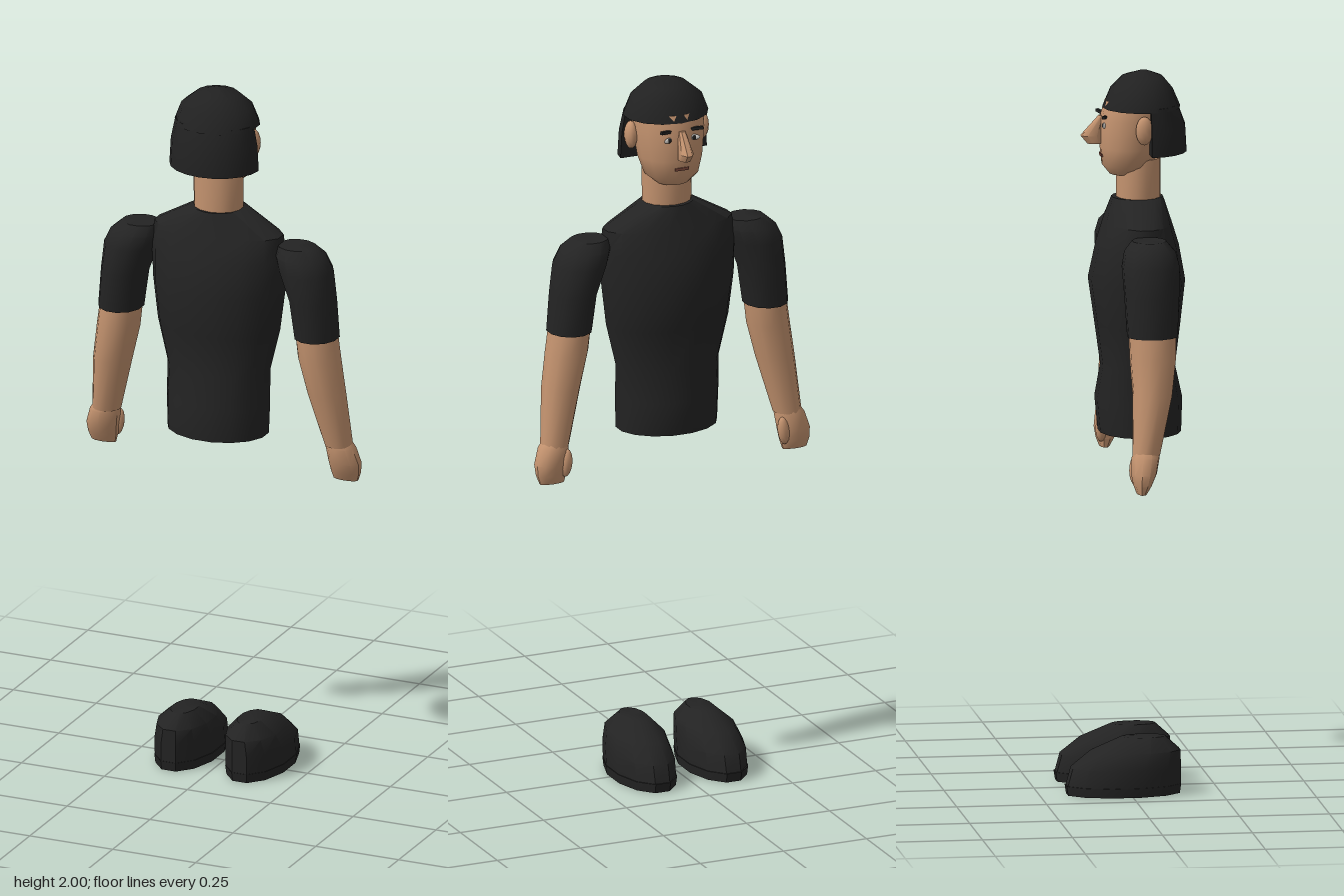
import * as THREE from 'three';
import { toCreasedNormals } from 'three/addons/utils/BufferGeometryUtils.js';

const flat = (name, color) => {
  const m = new THREE.MeshStandardMaterial({ color });
  m.name = name;
  return m;
};

// Skin a stack of equal-length closed outlines (bottom to top) and cap both ends.
function skinOutlines(outlines, crease = 0.75) {
  const n = outlines[0].length, pos = [], idx = [];
  outlines.forEach(o => o.forEach(p => pos.push(...p)));
  for (let r = 0; r < outlines.length - 1; r++) {
    for (let i = 0; i < n; i++) {
      const a = r * n + i, b = r * n + (i + 1) % n;
      idx.push(a, a + n, b, b, a + n, b + n);
    }
  }
  const cap = (r, top) => {
    const c = pos.length / 3;
    pos.push(...[0, 1, 2].map(k => outlines[r].reduce((s, p) => s + p[k], 0) / n));
    for (let i = 0; i < n; i++) {
      const a = r * n + i, b = r * n + (i + 1) % n;
      idx.push(c, ...(top ? [b, a] : [a, b]));
    }
  };
  cap(0, false);
  cap(outlines.length - 1, true);
  const g = new THREE.BufferGeometry();
  g.setAttribute('position', new THREE.Float32BufferAttribute(pos, 3));
  g.setIndex(idx);
  return toCreasedNormals(g, crease);
}

// Elliptical rings: [y, centreX, centreZ, radiusX, radiusZ]
function loft(rings, sides = 12, side = 1, crease) {
  const k = 1 / Math.cos(Math.PI / sides);
  return skinOutlines(rings.map(([y, cx, cz, rx, rz]) =>
    Array.from({ length: sides }, (_, i) => {
      const a = (i + 0.5) / sides * Math.PI * 2;
      return [cx * side + Math.cos(a) * rx * k, y, cz + Math.sin(a) * rz * k];
    })), crease);
}

export function createModel() {
  const root = new THREE.Group();
  root.name = 'figure';
  const skin = flat('skin', 0xc4936f);
  const black = flat('blackCloth', 0x232323);
  const hairMat = flat('hairBlack', 0x212121);
  const white = flat('eyeWhite', 0xe8e4de);
  const lip = flat('lip', 0x7d4a3c);

  const add = (name, geo, mat, parent = root) => {
    const m = new THREE.Mesh(geo, mat);
    m.name = name;
    parent.add(m);
    return m;
  };
  const blob = (name, mat, p, s, parent) => {
    const m = add(name, new THREE.SphereGeometry(1, 12, 8), mat, parent);
    m.position.set(...p);
    m.scale.set(...s);
    return m;
  };

  // Shirt body
  add('shirt', loft([
    [0.995, 0, 0.043, 0.143, 0.112],
    [1.09, 0, 0.04, 0.145, 0.118],
    [1.18, 0, 0.038, 0.146, 0.1],
    [1.3, 0, 0.037, 0.174, 0.115],
    [1.42, 0, 0.035, 0.188, 0.13],
    [1.52, 0, 0.037, 0.193, 0.11],
    [1.585, 0, 0.037, 0.187, 0.09],
    [1.65, 0, 0.037, 0.072, 0.07],
  ], 16), black);

  // Head and neck
  const head = new THREE.Group();
  head.name = 'head';
  root.add(head);
  add('neck', loft([[1.63, 0, 0.04, 0.068, 0.06], [1.76, 0, 0.04, 0.07, 0.06]], 14), skin, head);
  add('face', loft([
    [1.715, 0, 0.0, 0.045, 0.04],
    [1.74, 0, 0.01, 0.075, 0.07],
    [1.79, 0, 0.02, 0.09, 0.085],
    [1.87, 0, 0.03, 0.1, 0.095],
    [1.92, 0, 0.04, 0.1, 0.09],
  ], 16), skin, head);
  add('nose', loft([
    [1.8, 0, -0.08, 0.016, 0.022],
    [1.822, 0, -0.09, 0.018, 0.03],
    [1.878, 0, -0.062, 0.009, 0.008],
  ], 8), skin, head);
  const mouth = add('mouth', new THREE.BoxGeometry(0.04, 0.008, 0.008), lip, head);
  mouth.position.set(0, 1.768, -0.062);

  // Hair: rounded cap, and a longer back half hanging to the nape
  add('hairCap', loft([
    [1.9, 0, 0.048, 0.118, 0.106],
    [1.95, 0, 0.048, 0.1, 0.085],
    [1.985, 0, 0.05, 0.058, 0.055],
    [2.0, 0, 0.055, 0.012, 0.012],
  ], 14), hairMat, head);
  const backHair = [[1.778, 0.13, 0.114], [1.85, 0.126, 0.11], [1.91, 0.115, 0.088]];
  add('hairBack', skinOutlines(backHair.map(([y, rx, rz]) =>
    Array.from({ length: 11 }, (_, i) => {
      const a = i / 10 * Math.PI;
      return [Math.cos(a) * rx, y, 0.06 + Math.sin(a) * rz];
    }))), hairMat, head);

  for (const s of [1, -1]) {
    const label = s > 0 ? 'left' : 'right';

    // Eye, brow and ear
    blob(label + 'Eye', white, [s * 0.038, 1.855, -0.06], [0.017, 0.008, 0.004], head).rotation.y = s * 0.35;
    blob(label + 'Pupil', hairMat, [s * 0.038, 1.855, -0.063], [0.007, 0.007, 0.003], head);
    const brow = add(label + 'Brow', new THREE.BoxGeometry(0.045, 0.008, 0.009), hairMat, head);
    brow.position.set(s * 0.042, 1.879, -0.058);
    brow.rotation.set(0, s * 0.35, s * 0.1);
    blob(label + 'Ear', skin, [s * 0.107, 1.85, 0.042], [0.018, 0.04, 0.024], head);

    // Arm
    const arm = new THREE.Group();
    arm.name = label + 'Arm';
    root.add(arm);
    add('sleeve', loft([
      [1.31, 0.295, 0.037, 0.061, 0.068],
      [1.42, 0.283, 0.037, 0.064, 0.074],
      [1.5, 0.263, 0.037, 0.074, 0.078],
      [1.54, 0.248, 0.037, 0.07, 0.069],
      [1.567, 0.235, 0.037, 0.052, 0.046],
    ], 12, s), black, arm);
    add('forearm', loft([
      [0.99, 0.35, 0.012, 0.039, 0.037],
      [1.15, 0.322, 0.033, 0.053, 0.053],
      [1.25, 0.303, 0.037, 0.058, 0.062],
      [1.33, 0.293, 0.037, 0.057, 0.064],
    ], 12, s), skin, arm);
    add('hand', loft([
      [0.885, 0.365, -0.003, 0.035, 0.013],
      [0.91, 0.366, 0.0, 0.042, 0.025],
      [0.94, 0.365, 0.004, 0.045, 0.034],
      [0.985, 0.355, 0.01, 0.041, 0.037],
      [1.003, 0.35, 0.012, 0.034, 0.032],
    ], 10, s), skin, arm);
    blob('thumb', skin, [s * 0.327, 0.942, -0.016], [0.017, 0.04, 0.016], arm).rotation.z = s * 0.1;

    // Shoe with a thin sole
    const shoe = new THREE.Group();
    shoe.name = label + 'Shoe';
    root.add(shoe);
    add('sole', loft([
      [0, 0.107, -0.018, 0.08, 0.155],
      [0.026, 0.107, -0.018, 0.083, 0.159],
    ], 12, s), black, shoe);
    add('upper', loft([
      [0.024, 0.107, -0.017, 0.081, 0.157],
      [0.075, 0.107, -0.01, 0.082, 0.15],
      [0.12, 0.104, 0.018, 0.072, 0.122],
      [0.157, 0.1, 0.04, 0.034, 0.06],
    ], 12, s), black, shoe);
  }
  return root;
}
